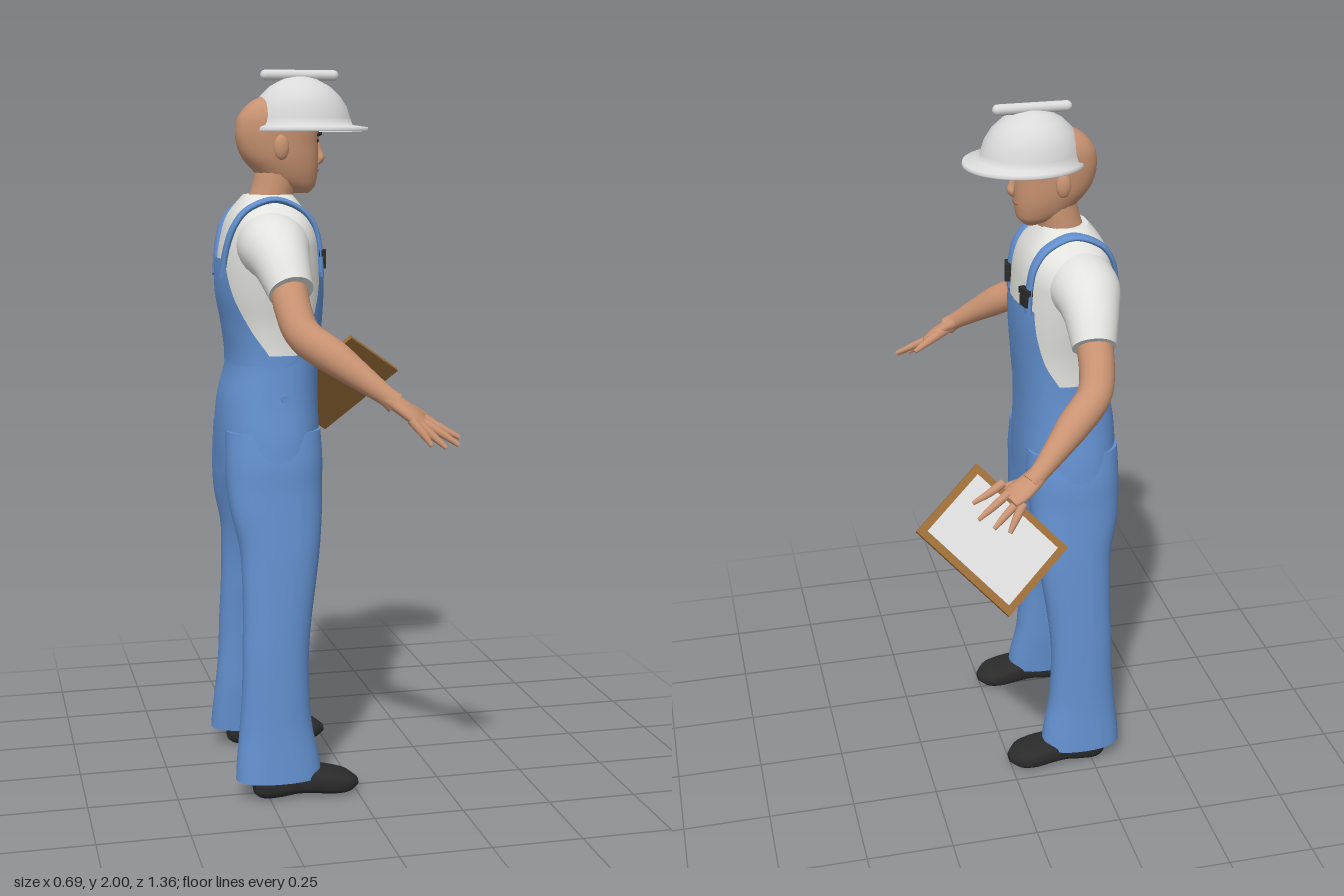
import * as THREE from 'three';

const mat = (name, color, side = THREE.FrontSide) => new THREE.MeshStandardMaterial({ name, color, side });
const V = (x, y, z) => new THREE.Vector3(x, y, z);

// Smooth interpolation through rows of [key, ...values]
function sampler(rows) {
  const ip = new THREE.CubicInterpolant(rows.map(r => r[0]), rows.flatMap(r => r.slice(1)), rows[0].length - 1);
  return t => [...ip.evaluate(t)];
}

// Skin a list of rings that run counterclockwise around the travel direction
function skin(rings, { closed = true, caps = true } = {}) {
  const pos = [], idx = [], n = rings[0].length;
  rings.forEach(r => r.forEach(p => pos.push(p.x, p.y, p.z)));
  for (let i = 0; i < rings.length - 1; i++)
    for (let j = 0; j < (closed ? n : n - 1); j++) {
      const a = i * n + j, b = i * n + (j + 1) % n;
      idx.push(a, b, b + n, a, b + n, a + n);
    }
  if (caps) [rings[0], rings[rings.length - 1]].forEach((r, end) => {
    const base = pos.length / 3, c = V(0, 0, 0);
    r.forEach(p => { pos.push(p.x, p.y, p.z); c.addScaledVector(p, 1 / n); });
    pos.push(c.x, c.y, c.z);
    for (let j = 0; j < n; j++) {
      const a = base + j, b = base + (j + 1) % n;
      idx.push(...(end ? [a, b, base + n] : [b, a, base + n]));
    }
  });
  const g = new THREE.BufferGeometry();
  g.setAttribute('position', new THREE.Float32BufferAttribute(pos, 3));
  g.setIndex(idx);
  g.computeVertexNormals();
  return g;
}

const pw = (v, e) => Math.sign(v) * Math.abs(v) ** e;
// Point on a level superellipse; section = [xBack, xFront, halfZ, centreZ]
function onSection([x0, x1, hz, cz = 0], y, t, n = 2.4, off = 0) {
  return V((x0 + x1) / 2 + ((x1 - x0) / 2 + off) * pw(Math.sin(t), 2 / n), y, cz + (hz + off) * pw(Math.cos(t), 2 / n));
}
// Upright form from rows of [y, xBack, xFront, halfZ, centreZ]
function upright(rows, { steps = 32, n = 2.4, off = 0, seg = 40, caps = true } = {}) {
  const f = sampler(rows), y0 = rows[0][0], y1 = rows[rows.length - 1][0], rings = [];
  for (let i = 0; i <= steps; i++) {
    const y = y0 + (y1 - y0) * i / steps, s = f(y);
    rings.push(Array.from({ length: seg }, (_, j) => onSection(s, y, j / seg * Math.PI * 2, n, off)));
  }
  return skin(rings, { caps });
}
// Limb along points of [x, y, z, radiusAcross, radiusDeep]
function limb(points, { side = V(1, 0, 0), seg = 16, sub = 6 } = {}) {
  const f = sampler(points.map((p, i) => [i, p[0], p[1], p[2], p[3], p[4] ?? p[3]])), last = points.length - 1;
  const rings = [], at = t => f(Math.min(last, Math.max(0, t)));
  for (let i = 0; i <= last * sub; i++) {
    const t = i / sub, p = at(t), T = V(...at(t + 0.05)).sub(V(...at(t - 0.05))).normalize();
    const u = side.clone().addScaledVector(T, -side.dot(T)).normalize(), v = T.clone().cross(u);
    rings.push(Array.from({ length: seg }, (_, j) => {
      const a = j / seg * Math.PI * 2;
      return V(p[0], p[1], p[2]).addScaledVector(u, p[3] * Math.cos(a)).addScaledVector(v, p[4] * Math.sin(a));
    }));
  }
  return skin(rings);
}

export function createModel() {
  const skinM = mat('skin', 0xc99372), white = mat('shirtWhite', 0xe2e2de), hatM = mat('helmetWhite', 0xdadada, THREE.DoubleSide);
  const blue = mat('denimBlue', 0x628fcd, THREE.DoubleSide), black = mat('shoeBlack', 0x2b2b2b);
  const brown = mat('boardBrown', 0x9c6e38), paperM = mat('paper', 0xdcdcdc), lipM = mat('lip', 0xa9705a);
  const root = new THREE.Group(), body = new THREE.Group();
  root.name = 'worker'; body.name = 'body'; body.position.z = 0.055;
  root.add(body);
  const add = (name, geo, m, x = 0, y = 0, z = 0, parent = body) => {
    const o = new THREE.Mesh(geo, m);
    o.name = name; o.position.set(x, y, z); parent.add(o);
    return o;
  };

  // Torso: shirt and hips share one set of sections
  const torso = [[0.9, -.345, -.07, .213], [1.0, -.345, -.07, .2], [1.1, -.337, -.072, .179], [1.2, -.313, -.07, .165], [1.3, -.322, -.062, .165],
    [1.4, -.338, -.057, .18], [1.5, -.335, -.063, .193], [1.55, -.325, -.07, .193], [1.6, -.31, -.088, .165], [1.635, -.288, -.112, .115], [1.662, -.265, -.132, .073]];
  const torsoAt = sampler(torso);
  add('shirt', upright(torso.slice(2)), white);
  add('trouserSeat', upright(torso.slice(0, 4).concat([[1.23, -.313, -.067, .163]]), { off: 0.005 }), blue);

  // Bib panels follow the torso, rows of [y, halfWidth]
  const panel = (rows, dir) => {
    const f = sampler(rows), y0 = rows[0][0], y1 = rows[rows.length - 1][0], rings = [];
    for (let i = 0; i <= 20; i++) {
      const y = y0 + (y1 - y0) * i / 20, s = torsoAt(y), half = Math.asin(Math.min(1, f(y)[0] / s[2]) ** 1.2);
      rings.push(Array.from({ length: 25 }, (_, j) => onSection(s, y, dir * Math.PI / 2 - half + half * j / 12, 2.4, 0.007)));
    }
    return skin(rings, { closed: false, caps: false });
  };
  add('frontBib', panel([[1.2, .165], [1.25, .156], [1.3, .144], [1.38, .136], [1.455, .132]], 1), blue);
  add('backBib', panel([[1.2, .165], [1.25, .156], [1.3, .142], [1.4, .115], [1.49, .085]], -1), blue);

  // Head, neck and face
  add('neck', limb([[-.205, 1.6, 0, .066], [-.185, 1.67, 0, .06, .064], [-.17, 1.74, 0, .06]]), skinM);
  add('head', upright([[1.665, -.125, -.085, .025], [1.68, -.17, -.068, .045], [1.70, -.21, -.062, .058], [1.73, -.242, -.058, .069], [1.76, -.268, -.057, .076],
    [1.80, -.284, -.057, .08], [1.84, -.287, -.055, .082], [1.88, -.275, -.06, .079], [1.915, -.24, -.09, .06], [1.935, -.2, -.13, .025]], { n: 2.2 }), skinM);
  add('nose', limb([[-.062, 1.815, 0, .008], [-.053, 1.78, 0, .01], [-.049, 1.76, 0, .016, .011], [-.058, 1.745, 0, .01, .005]], { side: V(0, 0, 1) }), skinM);
  const ball = new THREE.SphereGeometry(1, 20, 14);
  add('mouth', ball, lipM, -.061, 1.728, 0).scale.set(.006, .006, .024);
  for (const s of [1, -1]) {
    add('ear', ball, skinM, -.175, 1.79, s * .082).scale.set(.021, .034, .013);
    add('eye', ball, black, -.064, 1.808, s * .032).scale.set(.004, .0045, .012);
    add('eyebrow', new THREE.BoxGeometry(.008, .007, .034), black, -.063, 1.824, s * .034).rotation.set(-s * .25, s * .25, 0);
  }

  // Hard hat: open shell with brim, plus the ridge
  const hat = [[1.833, -.253, .083, .146], [1.836, -.255, .085, .148], [1.845, -.253, .083, .146], [1.851, -.246, .04, .127], [1.87, -.242, .034, .122], [1.9, -.234, .024, .115],
    [1.93, -.216, .004, .1], [1.955, -.19, -.023, .076], [1.975, -.155, -.06, .043], [1.984, -.112, -.1, .006]];
  add('helmet', skin(hat.map(([y, ...s]) => Array.from({ length: 48 }, (_, j) => onSection(s, y, j / 24 * Math.PI, 2))), { caps: false }), hatM);
  add('helmetRidge', new THREE.CapsuleGeometry(.015, .19, 6, 16), hatM, -.107, 1.985, 0).rotation.z = Math.PI / 2;

  // Height of the clipboard face, used to rest the right hand on it
  const boardY = (x, z) => 1.036 + (.0633 * (z + .615) + .0047 * (x - .146)) / .0447;

  for (const s of [1, -1]) {
    const side = s > 0 ? 'left' : 'right';
    const flip = pts => pts.map(([x, y, z, ...r]) => [x, y, s * z, ...r]);
    const rest = pts => flip(pts).map(([x, y, z, ...r]) => [x, s < 0 ? Math.max(y, boardY(x, z) + .014) : y, z, ...r]);

    // Trouser leg and shoe
    add(side + 'TrouserLeg', upright([[.055, -.34, -.1, .066, .222], [.1, -.337, -.104, .065, .218], [.2, -.326, -.123, .064, .209], [.3, -.318, -.13, .063, .205], [.4, -.315, -.13, .063, .2],
      [.5, -.311, -.12, .066, .19], [.6, -.31, -.105, .068, .18], [.7, -.314, -.09, .076, .163], [.8, -.335, -.08, .084, .143], [.87, -.342, -.076, .096, .123], [.93, -.343, -.072, .105, .11], [1.02, -.34, -.075, .097, .098]]
      .map(r => [...r.slice(0, 4), r[4] * s]), { n: 2.3, steps: 44, seg: 32 }), blue);
    const shoe = sampler([[-.29, .028, .012, .055], [-.275, .042, .002, .075], [-.22, .05, 0, .085], [-.17, .05, .006, .085], [-.12, .056, .004, .08], [-.06, .06, 0, .066], [-.02, .048, .004, .052], [.005, .018, .014, .034]]);
    const shoeRings = Array.from({ length: 25 }, (_, i) => {
      const x = -.29 + .295 * i / 24, [w, lo, hi] = shoe(x);
      return Array.from({ length: 24 }, (_, j) => {
        const a = j / 12 * Math.PI;
        return V(x, Math.max(0, (lo + hi) / 2 + (hi - lo) / 2 * pw(Math.cos(a), .7)), s * .222 + w * pw(Math.sin(a), .8));
      });
    });
    add(side + 'Shoe', skin(shoeRings), black);

    // Sleeve, arm and hand
    add(side + 'Sleeve', limb(flip([[-.21, 1.53, .08, .095, .09], [-.215, 1.522, .18, .095, .087], [-.21, 1.485, .255, .076, .074], [-.2, 1.418, .325, .06, .06]]), { seg: 28 }), white);
    add(side + 'Arm', limb(flip([[-.205, 1.45, .29, .05], [-.2, 1.37, .355, .048], [-.18, 1.31, .4, .047], [-.115, 1.26, .45, .045], [-.055, 1.213, .493, .035], [0, 1.17, .53, .026], [.025, 1.15, .54, .028]]), { seg: 20 }), skinM);
    const across = V(-.045, .005, s * .045);
    add(side + 'Palm', limb(rest([[-.005, 1.172, .527, .025, .022], [.03, 1.148, .54, .034, .019], [.065, 1.122, .553, .039, .017], [.09, 1.102, .563, .034, .011]]), { side: across }), skinM);
    const fingers = [[[.1, 1.108, .537], [.14, 1.085, .552], [.187, 1.06, .567]], [[.09, 1.104, .553], [.135, 1.075, .573], [.178, 1.045, .592]],
      [[.075, 1.103, .57], [.108, 1.072, .588], [.14, 1.042, .606]], [[.055, 1.112, .58], [.08, 1.08, .6], [.1, 1.05, .616]]];
    fingers.forEach(p => add(side + 'Finger', limb(rest(p.map((q, i) => [...q, [.012, .0105, .006][i]])), { side: across, seg: 10 }), skinM));
    add(side + 'Thumb', limb(flip([[.03, 1.145, .53, .017], [.085, 1.122, .507, .014], [.14, 1.092, .492, .007]]), { side: across, seg: 10 }), skinM);

    // Shoulder strap running over the shirt to the back
    const strap = [];
    const on = (y, z, dir) => {
      const [x0, x1, hz] = torsoAt(y), k = Math.max(0, 1 - (z / hz) ** 2.4) ** (1 / 2.4);
      strap.push([(x0 + x1) / 2 + dir * ((x1 - x0) / 2 * k + .002), y, s * z, .022, .009]);
    };
    [[1.44, .107], [1.52, .107], [1.58, .106], [1.625, .103]].forEach(p => on(...p, 1));
    strap.push([-.2, 1.65, s * .1, .024, .009]);
    [[1.625, .1], [1.58, .093], [1.52, .076], [1.44, .055]].forEach(p => on(...p, -1));
    add(side + 'Strap', limb(strap, { side: V(0, 0, 1) }), blue);

    // Buckle and hip button
    for (const [y, w, h] of [[1.505, .05, .018], [1.478, .038, .03]])
      add(side + 'Buckle', new THREE.BoxGeometry(.018, h, w), black, -.066, y, s * .105).rotation.y = -s * .25;
    add(side + 'HipButton', new THREE.CylinderGeometry(.011, .011, .012, 16), blue, -.19, 1.115, s * .183).rotation.x = Math.PI / 2;
  }

  // Clipboard
  const board = new THREE.Group();
  board.name = 'clipboard';
  const ex = V(.18, -.123, -.1).normalize(), ez = ex.clone().cross(V(-.218, -.203, -.127)).normalize();
  board.quaternion.setFromRotationMatrix(new THREE.Matrix4().makeBasis(ex, ez.clone().cross(ex), ez));
  board.position.set(.146, 1.036, -.56);
  add('board', new THREE.BoxGeometry(.24, .323, .014), brown, 0, 0, 0, board);
  add('sheet', new THREE.BoxGeometry(.2, .283, .004), paperM, 0, 0, .008, board);
  root.add(board);
  return root;
}
